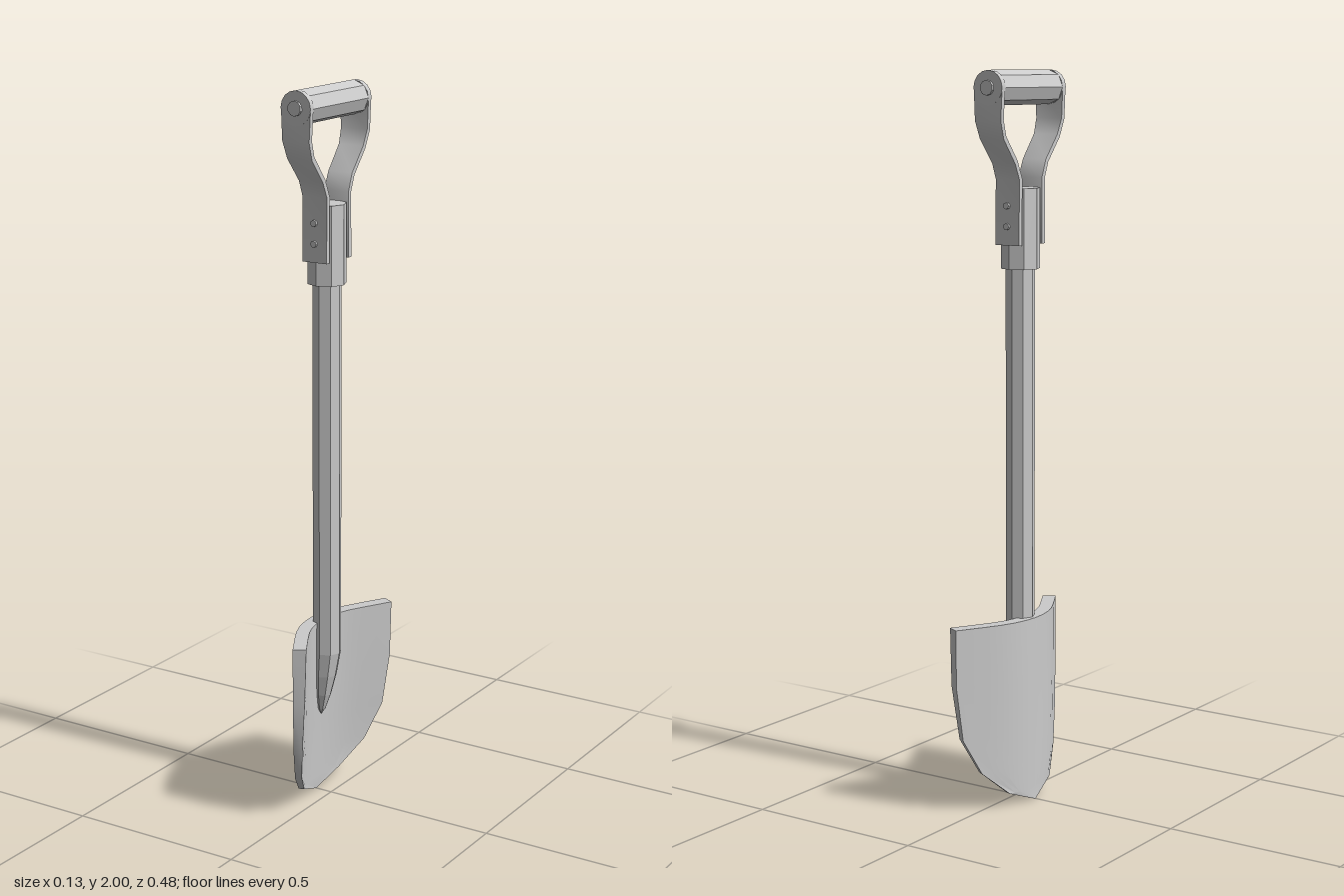
import * as THREE from 'three';
import { toCreasedNormals } from 'three/addons/utils/BufferGeometryUtils.js';

const V = (x, y, z) => new THREE.Vector3(x, y, z);
const smooth = new THREE.MeshStandardMaterial({ color: 0xcccccc });
const faceted = new THREE.MeshStandardMaterial({ color: 0xcccccc, flatShading: true });

// Solid skin over closed rings listed from top to bottom, each counter-clockwise from above
function loft(rings, crease) {
  const m = rings[0].length, pos = [];
  const quad = (a, b, c, d) => [a, b, c, a, c, d].forEach(p => pos.push(p.x, p.y, p.z));
  for (let r = 0; r < rings.length - 1; r++) {
    const a = rings[r], b = rings[r + 1];
    for (let i = 0; i < m; i++) {
      const j = (i + 1) % m;
      quad(a[i], b[i], b[j], a[j]);
    }
  }
  const top = rings[0], end = rings[rings.length - 1];
  for (let i = 0; i < m / 2 - 1; i++) {
    quad(top[i], top[i + 1], top[m - 2 - i], top[m - 1 - i]);
    quad(end[m - 1 - i], end[m - 2 - i], end[i + 1], end[i]);
  }
  const g = new THREE.BufferGeometry();
  g.setAttribute('position', new THREE.Float32BufferAttribute(pos, 3));
  return toCreasedNormals(g, crease);
}

// Scoop: rounded centre with straight wings, thinning towards the tip
function bladeGeometry() {
  const n = 12, bend = 0.15, a = 1.88;
  // [height, half width, thickness]
  const rows = [[0.52, 0.242, 0.037], [0.36, 0.241, 0.032], [0.21, 0.224, 0.024],
    [0.11, 0.175, 0.019], [0.04, 0.098, 0.016], [0.003, 0.002, 0.014]];
  const rings = rows.map(([y, w, t]) => {
    const back = [], front = [];
    for (let i = 0; i <= n; i++) {
      const z = w * (2 * i / n - 1), u = Math.abs(z);
      const depth = u < bend ? a * u * u : a * bend * (2 * u - bend);
      const slope = 2 * a * Math.min(u, bend) * Math.sign(z);
      const k = t / Math.hypot(1, slope);
      back.push(V(-0.051 + depth, y, z));
      front.unshift(V(-0.051 + depth + k, y, z - slope * k));
    }
    return back.concat(front);
  });
  return loft(rings, 0.5);
}

// Bent flat strap from the grip down to the collar
function strapGeometry() {
  // [z, y, half width]
  const path = [[0.142, 1.955, 0.045], [0.143, 1.87, 0.041], [0.126, 1.825, 0.038],
    [0.072, 1.76, 0.037], [0.053, 1.715, 0.038], [0.055, 1.54, 0.038]];
  const rings = path.map(([z, y, w], i) => {
    const p = path[Math.max(i - 1, 0)], q = path[Math.min(i + 1, path.length - 1)];
    const dz = q[0] - p[0], dy = q[1] - p[1], k = 0.0068 / Math.hypot(dz, dy);
    const nz = -dy * k, ny = dz * k;
    return [V(-w, y - ny, z - nz), V(-w, y + ny, z + nz), V(w, y + ny, z + nz), V(w, y - ny, z - nz)];
  });
  return loft(rings, 0.6);
}

export function createModel() {
  const model = new THREE.Group();
  model.name = 'shovel';
  model.position.x = -0.013;
  const add = (name, geometry, material, parent = model) => {
    const mesh = new THREE.Mesh(geometry, material);
    mesh.name = name;
    parent.add(mesh);
    return mesh;
  };

  add('blade', bladeGeometry(), smooth);

  // Eight-sided shaft whose tip sinks back into the blade
  const profile = [[0, 0.235], [0.012, 0.255], [0.024, 0.3], [0.034, 0.36], [0.04, 0.43], [0.04, 1.68], [0, 1.68]];
  const shaft = new THREE.LatheGeometry(profile.map(p => new THREE.Vector2(...p)), 8);
  const p = shaft.attributes.position;
  for (let i = 0; i < p.count; i++) {
    const k = Math.max(0, (0.43 - p.getY(i)) / 0.195);
    p.setX(i, p.getX(i) - 0.02 * k);
  }
  add('shaft', shaft, faceted);

  // Collar around the shaft top
  add('collar', new THREE.CylinderGeometry(0.053, 0.053, 0.215, 8), faceted).position.y = 1.5825;

  // Grip bar across the top
  const grip = add('grip', new THREE.CylinderGeometry(0.046, 0.046, 0.27, 8), faceted);
  grip.rotation.x = Math.PI / 2;
  grip.position.y = 1.954;

  // Mirrored strap, rounded eye, pin and rivets on each side
  const strap = strapGeometry();
  for (const side of ['front', 'back']) {
    const arm = new THREE.Group();
    arm.name = side + 'Arm';
    arm.rotation.y = side === 'front' ? 0 : Math.PI;
    model.add(arm);
    add('strap', strap, smooth, arm);
    const disc = (name, r, depth, y, z, sides) => {
      const g = toCreasedNormals(new THREE.CylinderGeometry(r, r, depth, sides), 0.6);
      const mesh = add(name, g, smooth, arm);
      mesh.rotation.x = Math.PI / 2;
      mesh.position.set(0, y, z);
    };
    disc('strapEye', 0.0455, 0.0165, 1.954, 0.1415, 16);
    disc('gripPin', 0.02, 0.012, 1.954, 0.151, 10);
    for (const y of [1.59, 1.645]) disc('rivet', 0.009, 0.012, y, 0.062, 8);
  }
  return model;
}
